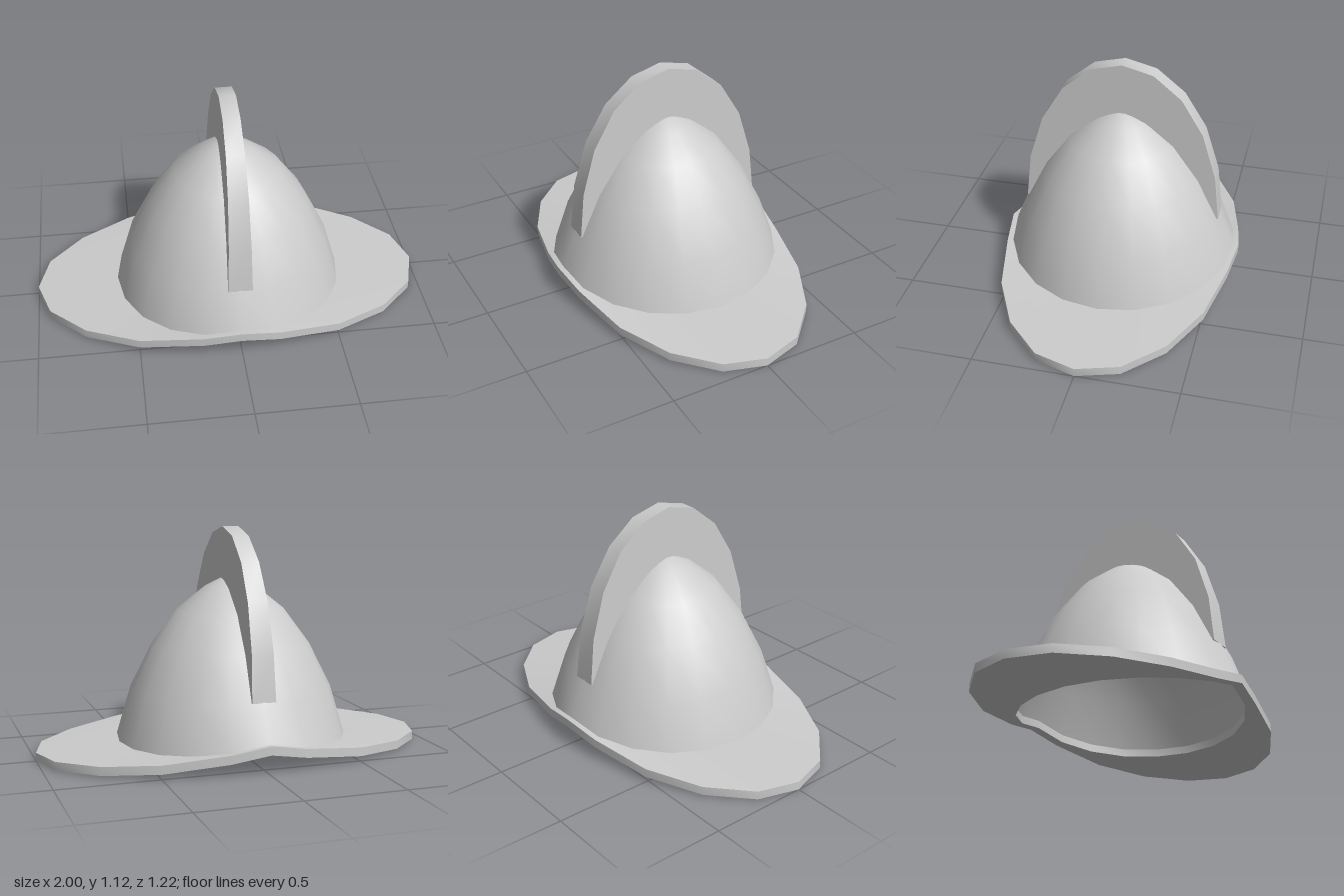
import * as THREE from 'three';
import { toCreasedNormals } from 'three/addons/utils/BufferGeometryUtils.js';

const SIDES = 20;
const material = new THREE.MeshStandardMaterial({ color: 0xcccccc, side: THREE.DoubleSide });

// Height of the brim's top surface: peaked on the centre line, drooping to the sides
const SLOPE = [[0, 0.143], [0.19, 0.108], [0.35, 0.087], [0.5, 0.071], [0.76, 0.053], [1, 0.043]];
function brimTop(x) {
  const a = Math.min(Math.abs(x), 1);
  const i = Math.max(1, SLOPE.findIndex((p) => p[0] >= a));
  const [x0, y0] = SLOPE[i - 1], [x1, y1] = SLOPE[i];
  return y0 + (y1 - y0) * (a - x0) / (x1 - x0);
}

// Skins a row of four-cornered sections, either as a closed ring or with end caps
function skin(sections, closed) {
  const n = sections.length, index = [];
  const quad = (a, b, c, d) => index.push(a, b, c, a, c, d);
  for (let i = 0; i < (closed ? n : n - 1); i++) {
    const a = i * 4, b = ((i + 1) % n) * 4;
    for (let k = 0; k < 4; k++) {
      const m = (k + 1) % 4;
      quad(a + k, a + m, b + m, b + k);
    }
  }
  if (!closed) {
    quad(3, 2, 1, 0);
    const e = (n - 1) * 4;
    quad(e, e + 1, e + 2, e + 3);
  }
  const g = new THREE.BufferGeometry();
  g.setAttribute('position', new THREE.Float32BufferAttribute(sections.flat(2), 3));
  g.setIndex(index);
  return g;
}

function part(name, geometry, crease) {
  const mesh = new THREE.Mesh(toCreasedNormals(geometry, crease), material);
  mesh.name = name;
  return mesh;
}

// Hollow bowl whose lower edge follows the brim
function makeBowl() {
  const outer = [[0.585, 0.06], [0.51, 0.315], [0.4, 0.535], [0.27, 0.712], [0.13, 0.825], [0.05, 0.866], [0, 0.873]];
  const inner = [[0, 0.835], [0.12, 0.79], [0.25, 0.685], [0.375, 0.52], [0.485, 0.305], [0.56, 0.06]];
  const g = new THREE.LatheGeometry([...inner, ...outer].map((p) => new THREE.Vector2(...p)), SIDES);
  const pos = g.attributes.position;
  for (let i = 0; i < pos.count; i++) {
    if (pos.getY(i) < 0.1) pos.setY(i, brimTop(pos.getX(i)) - 0.004);
  }
  return part('bowl', g, 0.7);
}

// Pointed oval brim with a round opening
function makeBrim() {
  const quarter = [[1, 0], [0.94, 0.205], [0.76, 0.385], [0.5, 0.515], [0.19, 0.583], [0, 0.61]];
  const thick = 0.043, hole = 0.56, sections = [];
  for (let j = 0; j < SIDES; j++) {
    const k = j % 10, q = quarter[k <= 5 ? k : 10 - k];
    const angle = j * 2 * Math.PI / SIDES;
    const x = q[0] * (j > 5 && j < 15 ? -1 : 1), z = q[1] * (j > 10 ? -1 : 1);
    const ix = hole * Math.cos(angle), iz = hole * Math.sin(angle);
    const yo = brimTop(x), yi = brimTop(ix);
    sections.push([[x, yo, z], [ix, yi, iz], [ix, yi - thick, iz], [x, yo - thick, z]]);
  }
  return part('brim', skin(sections, true), 0.6);
}

// Tall comb running front to back, slightly thinner at its top
function makeComb() {
  const half = [
    [0.503, 0.325, 0.475, 0.325], [0.478, 0.56, 0.37, 0.53], [0.408, 0.79, 0.25, 0.69],
    [0.298, 0.97, 0.15, 0.785], [0.156, 1.086, 0.07, 0.83], [0, 1.125, 0, 0.84],
  ];
  const rows = [...half, ...half.slice(0, 5).reverse().map(([a, b, c, d]) => [-a, b, -c, d])];
  const width = (y) => 0.06 - 0.0225 * (y - 0.325);
  const sections = rows.map(([z, y, zi, yi]) => {
    const w = width(y), wi = width(yi);
    return [[w, y, z], [-w, y, z], [-wi, yi, zi], [wi, yi, zi]];
  });
  // Run back to front so the faces point outwards
  return part('comb', skin(sections.reverse(), false), 0.6);
}

export function createModel() {
  const group = new THREE.Group();
  group.name = 'helmet';
  group.add(makeBowl(), makeBrim(), makeComb());
  return group;
}
